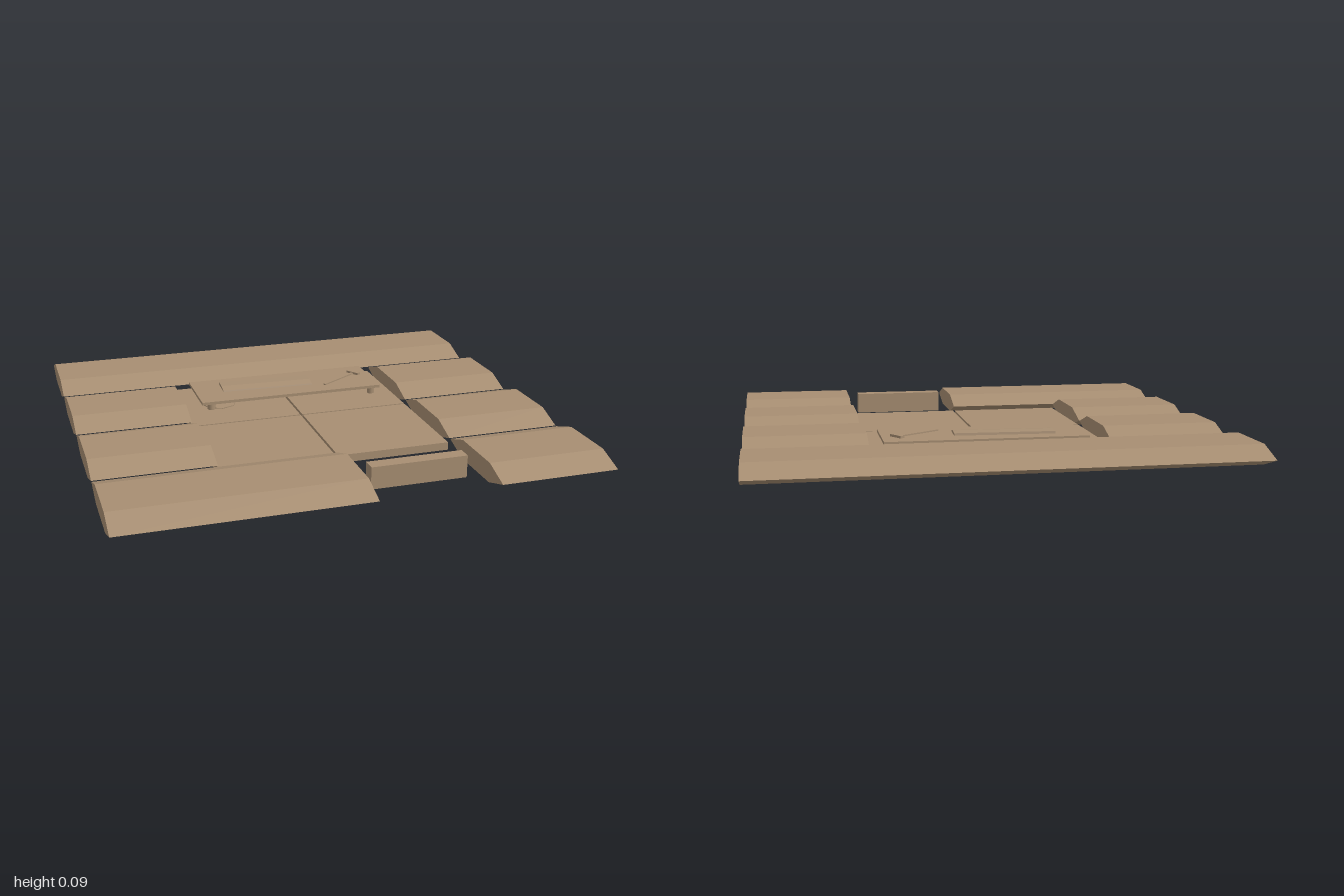
import * as THREE from 'three';

export function createModel() {
  const root = new THREE.Group();
  const clay = new THREE.MeshStandardMaterial({ color: 0xa78e72 });
  clay.name = 'tan clay';

  function add(name, geometry, parent = root) {
    const mesh = new THREE.Mesh(geometry, clay);
    mesh.name = name;
    parent.add(mesh);
    return mesh;
  }

  // Box given by its limits on each axis
  function box(name, x0, x1, y0, y1, z0, z1, parent) {
    const mesh = add(name, new THREE.BoxGeometry(x1 - x0, y1 - y0, z1 - z0), parent);
    mesh.position.set((x0 + x1) / 2, (y0 + y1) / 2, (z0 + z1) / 2);
    return mesh;
  }

  // Prism along x from a (z, y) outline
  function prism(points, length) {
    const shape = new THREE.Shape(points.map(([z, y]) => new THREE.Vector2(-z, y)));
    const g = new THREE.ExtrudeGeometry(shape, { depth: length, bevelEnabled: false });
    g.translate(0, 0, -length / 2);
    return g.rotateY(Math.PI / 2);
  }

  // Walls: flattened hexagonal bars in four rows
  const hex = [[-0.245, 0.052], [-0.125, 0.012], [0.125, 0.012],
    [0.245, 0.052], [0.125, 0.094], [-0.125, 0.094]];
  const rows = [
    [-0.751, [[-1, 1]]],
    [-0.252, [[-1, -0.5], [0.5, 1]]],
    [0.247, [[-1, -0.5], [0.5, 1]]],
    [0.746, [[-1, -0.002], [0.5, 1]]],
  ];
  for (const [z, spans] of rows) {
    for (const [a, b] of spans) {
      add('wall', prism(hex, b - a)).position.set((a + b) / 2, 0, z);
    }
  }

  // Floor slabs
  for (const x of [-0.25, 0.25]) {
    for (const z of [-0.252, 0.247]) {
      box('floorSlab', x - 0.245, x + 0.245, 0, 0.034, z - 0.245, z + 0.245);
    }
  }

  // Door in the front gap
  box('door', 0.043, 0.45, 0, 0.094, 0.718, 0.777);

  // Table with short round legs
  const table = new THREE.Group();
  table.name = 'table';
  root.add(table);
  box('tableTop', -0.415, 0.44, 0.06, 0.073, -0.475, -0.178, table);
  for (const x of [-0.37, 0.4]) {
    for (const z of [-0.456, -0.195]) {
      const leg = add('tableLeg', new THREE.CylinderGeometry(0.018, 0.018, 0.04, 8), table);
      leg.position.set(x, 0.042, z);
    }
  }

  // Low ridged ingot lying on the table
  const ingot = add('ingot', prism(
    [[-0.055, 0], [0.055, 0], [0.053, 0.005], [0.005, 0.012], [-0.053, 0.01]], 0.425));
  ingot.position.set(-0.075, 0.073, -0.34);
  ingot.rotation.y = -0.047;

  // Small hammer beside it
  const hammer = new THREE.Group();
  hammer.name = 'hammer';
  box('hammerHandle', -0.125, 0.1, 0, 0.006, -0.006, 0.006, hammer);
  box('hammerHead', 0.088, 0.108, 0, 0.01, -0.034, 0.034, hammer);
  hammer.position.set(0.294, 0.073, -0.32);
  hammer.rotation.y = 0.58;
  root.add(hammer);

  // Low octagonal stool tucked at the table edge
  const stool = add('stool', new THREE.CylinderGeometry(0.08, 0.08, 0.004, 8));
  stool.position.set(-0.32, 0.036, -0.26);

  return root;
}
